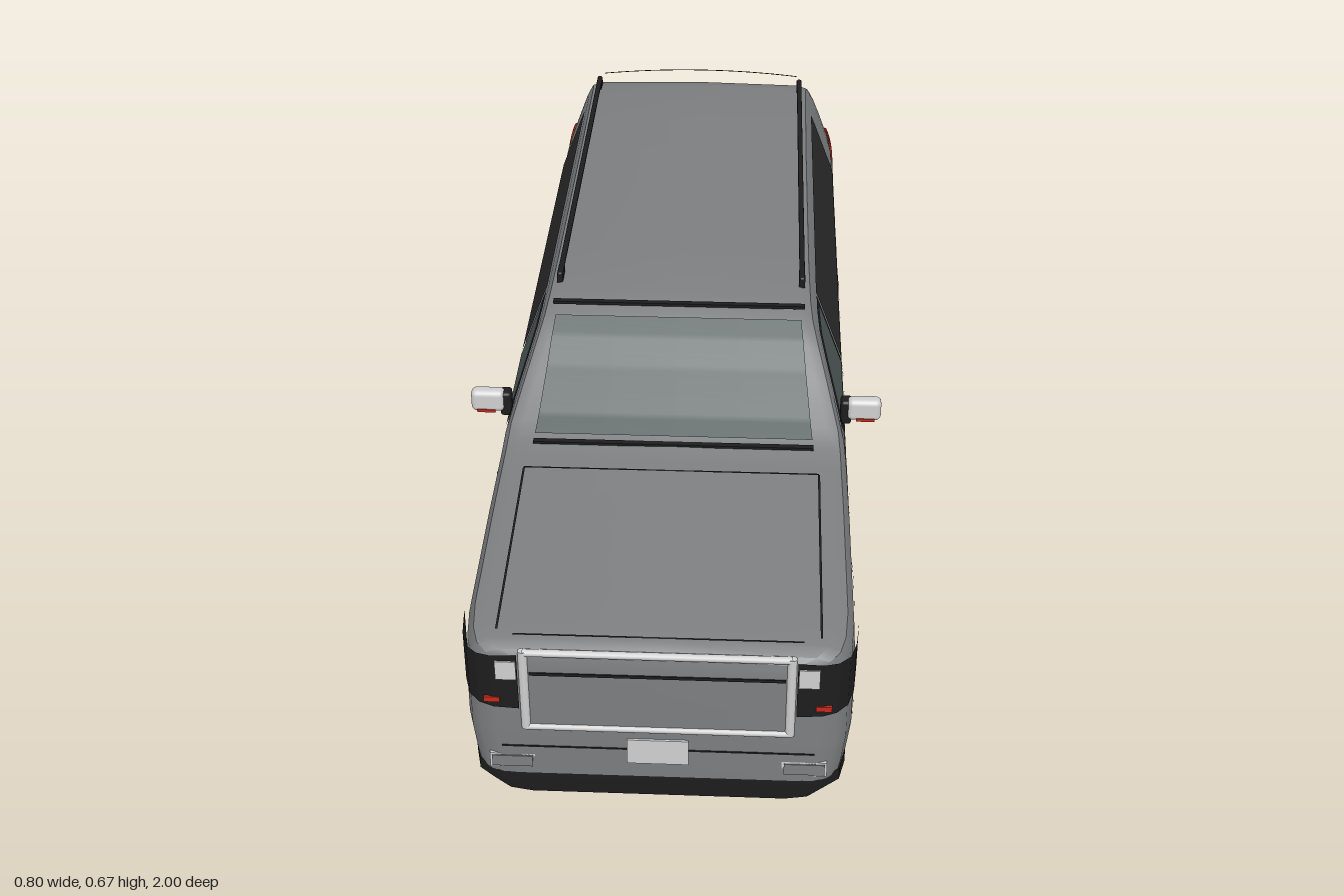
import * as THREE from 'three';
import { toCreasedNormals } from 'three/addons/utils/BufferGeometryUtils.js';
import { RoundedBoxGeometry } from 'three/addons/geometries/RoundedBoxGeometry.js';
import { ParametricGeometry } from 'three/addons/geometries/ParametricGeometry.js';

const mat = (name, color) => new THREE.MeshStandardMaterial({ name, color, side: THREE.DoubleSide });
const M = {
  body: mat('body grey', 0x7c7e80), trim: mat('black trim', 0x1d1d1d), tyre: mat('tyre rubber', 0x252525),
  dark: mat('tinted glass', 0x2a2a2a), glass: mat('windscreen glass', 0x4d5757), silver: mat('silver', 0xcfcfcf),
  red: mat('lamp red', 0xc42a1c), floor: mat('underbody', 0x3c3d3e), metal: mat('rim metal', 0x8c8c8c),
};

// piecewise linear lookup, table sorted by ascending key
function lerpTable(t, k) {
  if (k <= t[0][0]) return t[0][1];
  for (let i = 1; i < t.length; i++) {
    const [a, p] = t[i - 1], [b, q] = t[i];
    if (k <= b) return p + (q - p) * (k - a) / (b - a);
  }
  return t[t.length - 1][1];
}
const TOP = [[-.985, .33], [-.975, .42], [-.96, .5], [-.94, .585], [-.92, .63], [-.89, .65], [-.85, .657], [-.5, .661],
  [0, .66], [.16, .655], [.22, .643], [.27, .608], [.32, .565], [.4, .505], [.44, .482], [.5, .476], [.6, .466],
  [.8, .448], [.96, .434], [.985, .428], [.995, .418]];
const SIDE = [[.1, .325], [.17, .338], [.23, .345], [.33, .344], [.43, .337], [.47, .33], [.62, .274], [.66, .255]];
const TAPER = [[-.985, .985], [-.9, 1], [.87, 1], [.93, .985], [.965, .955], [.985, .9], [.995, .82]];
const BACK = TOP.slice(0, 5).map(([z, y]) => [y, z]);
const topY = z => lerpTable(TOP, z);
const sideX = (y, z) => lerpTable(SIDE, y) * lerpTable(TAPER, z);
const backZ = y => lerpTable(BACK, y);

const WHEELS = [.665, -.493], AXLE = .137, ARCH = .155;
function bottomY(z) {
  let y = z > .8 ? .145 : .165;
  for (const c of WHEELS) {
    const d = Math.abs(z - c);
    if (d < ARCH) y = Math.max(y, AXLE + Math.sqrt(ARCH * ARCH - d * d));
  }
  return y;
}

// one body cross-section, from the left sill over the top to the right sill
function section(z) {
  const T = topY(z), y0 = bottomY(z), y1 = T - .035, half = [];
  for (let i = 0; i <= 12; i++) {
    const y = y0 + (y1 - y0) * i / 12;
    half.push([sideX(y, z), y]);
  }
  const x = sideX(y1, z);
  half.push([x - .012, T - .013], [x - .035, T - .005]);
  return [...half, [0, T], ...half.map(([a, b]) => [-a, b]).reverse()].map(([a, b]) => [a, b, z]);
}

function bodyGeometry() {
  const zs = new Set([...TOP, ...TAPER].map(p => p[0]));
  for (const c of WHEELS) for (let i = 0; i <= 16; i++) zs.add(c + ARCH * Math.cos(Math.PI * i / 16));
  const rings = [...zs].sort((a, b) => b - a).map(section), n = rings[0].length, pos = [];
  const quad = (a, b, c, d) => { for (const p of [a, b, c, a, c, d]) pos.push(...p); };
  for (let i = 0; i + 1 < rings.length; i++)
    for (let j = 0; j + 1 < n; j++) quad(rings[i][j], rings[i + 1][j], rings[i + 1][j + 1], rings[i][j + 1]);
  const f = rings[0], r = rings[rings.length - 1];
  for (let j = 0; j < (n - 1) / 2; j++) {
    quad(f[j], f[j + 1], f[n - 2 - j], f[n - 1 - j]);
    quad(r[n - 1 - j], r[n - 2 - j], r[j + 1], r[j]);
  }
  const g = new THREE.BufferGeometry();
  g.setAttribute('position', new THREE.Float32BufferAttribute(pos, 3));
  return toCreasedNormals(g, .6);
}

export function createModel() {
  const car = new THREE.Group();
  car.name = 'estateCar';
  const add = (name, geo, m, x = 0, y = 0, z = 0, parent = car) => {
    const mesh = new THREE.Mesh(geo, m);
    mesh.name = name;
    mesh.position.set(x, y, z);
    parent.add(mesh);
    return mesh;
  };
  const box = (name, m, w, h, d, x, y, z) => add(name, new THREE.BoxGeometry(w, h, d), m, x, y, z);
  // thin surface from a rule (u, v) -> [x, y, z]
  const patch = (name, m, fn, nu = 8, nv = 6) =>
    add(name, new ParametricGeometry((u, v, t) => t.set(...fn(u, v)), nu, nv), m);
  // slab from a mirrored plan outline [x, z]; its underside is drawn in by the given factor
  const slab = (name, m, plan, y0, y1, tuck = 1) => {
    const pts = [...plan, ...plan.map(([x, z]) => [-x, z]).reverse()].map(p => new THREE.Vector2(...p));
    const g = new THREE.ExtrudeGeometry(new THREE.Shape(pts), { depth: y1 - y0, steps: 2, bevelEnabled: false });
    g.rotateX(Math.PI / 2).translate(0, y1, 0);
    const p = g.attributes.position;
    for (let i = 0; i < p.count; i++) if (p.getY(i) < y0 + .005) p.setX(i, p.getX(i) * tuck);
    add(name, toCreasedNormals(g, .6), m);
  };
  const mix = THREE.MathUtils.lerp;

  add('bodyShell', bodyGeometry(), M.body);

  // bumpers
  slab('frontBumper', M.trim, [[.336, .835], [.333, .92], [.322, .965], [.295, .987], [.25, .994]], .1, .15, .9);
  slab('rearBumper', M.body, [[.347, -.925], [.347, -.975], [.328, -.993], [.25, -.999]], .18, .29);
  slab('rearBumperStep', M.trim, [[.346, -.945], [.346, -.972], [.325, -.989], [.25, -.994]], .29, .325);
  slab('rearValance', M.trim, [[.343, -.655], [.346, -.975], [.325, -.99], [.25, -.995]], .155, .185, .96);

  // windscreen, tailgate glass and spoiler
  patch('windscreen', M.glass, (u, v) => {
    const z = mix(.43, .23, v);
    return [(u * 2 - 1) * mix(.268, .243, v), topY(z) + .004, z + .002];
  }, 4, 20);
  box('windscreenHeader', M.trim, .5, .006, .012, 0, .652, .2);
  box('cowl', M.trim, .54, .005, .012, 0, .482, .445);
  patch('rearWindow', M.dark, (u, v) => {
    const y = mix(.465, .61, v);
    return [(u * 2 - 1) * mix(.262, .235, v), y, backZ(y) - .005];
  });
  patch('spoiler', M.trim, (u, v) => {
    const x = (u * 2 - 1) * .24;
    return [x, .652 - .12 * x * x - .004 * v, -.957 + .25 * x * x - .014 * v];
  }, 16, 1);
  box('tailgateHandle', M.trim, .16, .008, .006, 0, .437, -.98);
  box('rearPlateFrame', M.trim, .13, .056, .008, 0, .39, -.982);
  box('rearPlate', M.silver, .11, .042, .008, 0, .39, -.985);

  // grille surround and front details
  for (const y of [.256, .423]) {
    const bar = add('grilleBar', new THREE.CylinderGeometry(.007, .007, .46, 10), M.silver, 0, y, .993);
    bar.rotation.z = Math.PI / 2;
  }
  box('grilleLine', M.trim, .44, .006, .004, 0, .378, .995);
  box('bumperSeam', M.trim, .55, .003, .003, 0, .21, .995);
  box('frontPlate', M.silver, .108, .055, .006, 0, .207, .996);
  patch('hoodRearSeam', M.trim, (u, v) => [(u * 2 - 1) * .28, topY(.52) + .001, .52 + .004 * v], 2, 1);
  patch('hoodFrontSeam', M.trim, (u, v) => [(u * 2 - 1) * .25, topY(.957) + .001, .957 + .004 * v], 2, 1);

  const lampPlan = [[0, .24], [.25, .285], [.45, .31], [.65, .33], [.8, .341], [1, .347]];
  const lampZ = [[0, .998], [.25, .9975], [.45, .989], [.65, .969], [.8, .933], [1, .87]];
  for (const s of [1, -1]) {
    // glazing
    patch('frontSideWindow', M.glass, (u, v) => {
      const z = mix(.12, .345, u), y = mix(.475, Math.min(.622, topY(z) - .042), v);
      return [s * (sideX(y, z) + .004), y, z];
    }, 16, 6);
    patch('windowSurround', M.trim, (u, v) => {
      const z = mix(.1, .375, u), y = mix(.47, Math.min(.627, topY(z) - .036), v);
      return [s * (sideX(y, z) + .002), y, z];
    }, 16, 6);
    patch('rearSideWindow', M.dark, (u, v) => {
      const y = mix(.475, .628, v), z = mix(.1, mix(-.77, -.755, v), u);
      return [s * (sideX(y, z) + .004), y, z];
    });
    // panel seams
    for (const [z, top] of [[.47, .425], [.115, .47], [.1, .47], [-.26, .47]])
      patch('doorSeam', M.trim, (u, v) => {
        const y = mix(.17, top, v);
        return [s * (sideX(y, z) + .0025), y, z + .004 * u];
      }, 1, 10);
    patch('hoodSideSeam', M.trim, (u, v) => {
      const z = mix(.52, .945, v);
      return [s * (.278 + .004 * u), topY(z) - .002, z];
    }, 1, 10);
    // lamps
    patch('headlamp', M.trim, (u, v) =>
      [s * lerpTable(lampPlan, u), mix(mix(.3, .31, u), mix(.42, .412, u), v), lerpTable(lampZ, u)], 20, 4);
    box('headlampLens', M.silver, .036, .04, .004, s * .26, .387, .9985);
    box('headlampMarker', M.red, .028, .011, .005, s * .287, .32, .997);
    patch('tailLamp', M.red, (u, v) => {
      const y = mix(.335, .5, v), X = sideX(y, -.95) + .004, z = backZ(y) - .005;
      const w = u * 3;
      return w < 1 ? [s * mix(X * .81, X - .012, w), y, z]
        : w < 2 ? [s * mix(X - .012, X, w - 1), y, mix(z, z + .008, w - 1)]
          : [s * X, y, mix(z + .008, z + .036, w - 2)];
    }, 12, 8);
    box('fogLampFrame', M.silver, .08, .032, .006, s * .258, .174, .992);
    box('fogLamp', M.body, .072, .024, .006, s * .258, .174, .994);
    const post = add('grillePost', new THREE.CylinderGeometry(.007, .007, .174, 10), M.silver, s * .23, .34, .993);
    post.scale.x = 1.2;
    // mirrors
    add('mirrorMount', new RoundedBoxGeometry(.022, .052, .03, 2, .006), M.trim, s * .334, .503, .34);
    add('mirrorShell', new RoundedBoxGeometry(.066, .046, .03, 3, .011), M.silver, s * .369, .511, .345);
    box('mirrorMarker', M.red, .036, .006, .004, s * .372, .492, .359);
    // roof rails and sills
    add('roofRail', new RoundedBoxGeometry(.011, .012, .99, 2, .004), M.trim, s * .245, .665, -.375);
    for (const z of [.1, -.85]) box('railFoot', M.trim, .012, .018, .04, s * .245, .658, z);
    add('runningBoard', new RoundedBoxGeometry(.06, .045, .84, 2, .01), M.trim, s * .315, .148, .085);
    box('chassisRail', M.trim, .03, .035, 1.6, s * .12, .137, -.03);

    // wheel wells and wheels
    for (const z of WHEELS) {
      const liner = new THREE.CylinderGeometry(ARCH, ARCH, .1, 24, 1, true, 0, Math.PI).rotateZ(Math.PI / 2);
      add('wheelLiner', liner, M.trim, s * .29, AXLE, z);
      add('wheelWell', new THREE.CircleGeometry(ARCH, 24, 0, Math.PI).rotateY(Math.PI / 2), M.trim, s * .24, AXLE, z);
      const rear = z < 0;
      const ring = new THREE.RingGeometry(rear ? .148 : .192, rear ? .18 : .195, 32, 1, .16, Math.PI - .32);
      add(rear ? 'archTrim' : 'archSeam', ring.rotateY(Math.PI / 2), M.trim, s * .3475, AXLE, z);

      const wheel = new THREE.Group();
      wheel.name = 'wheel';
      wheel.position.set(s * .301, AXLE, z);
      wheel.rotation.y = s > 0 ? 0 : Math.PI;
      car.add(wheel);
      const axial = g => g.rotateZ(-Math.PI / 2);
      const profile = [[.096, -.042], [.118, -.046], [.13, -.038], [.134, -.02], [.134, .02], [.13, .038],
        [.118, .046], [.1, .042], [.096, .034], [.096, -.042]].map(p => new THREE.Vector2(...p));
      add('tyre', axial(new THREE.LatheGeometry(profile, 36)), M.tyre, 0, 0, 0, wheel);
      add('rimDish', axial(new THREE.CylinderGeometry(.096, .096, .02, 32)), M.trim, .012, 0, 0, wheel);
      add('rimLip', new THREE.TorusGeometry(.096, .0025, 6, 36).rotateY(Math.PI / 2), M.metal, .041, 0, 0, wheel);
      add('hub', axial(new THREE.CylinderGeometry(.02, .024, .02, 18)), M.tyre, .034, 0, 0, wheel);
      add('hubCap', axial(new THREE.CylinderGeometry(.008, .008, .003, 14)), M.metal, .045, 0, 0, wheel);
      add('brakeDisc', axial(new THREE.CylinderGeometry(.07, .07, .012, 24)), M.metal, -.02, 0, 0, wheel);
      for (let i = 0; i < 6; i++) {
        const a = i * Math.PI / 3;
        const spoke = add('spoke', new THREE.BoxGeometry(.014, .08, .026).translate(0, .056, 0), M.tyre, .031, 0, 0, wheel);
        const edge = add('spokeEdge', new THREE.BoxGeometry(.004, .055, .004).translate(0, .062, .016), M.metal, .03, 0, 0, wheel);
        spoke.rotation.x = edge.rotation.x = a;
      }
    }
  }

  // underbody: floor panels, crossmembers, axles and tank
  for (const [w, z0, z1] of [[.48, -.95, .94], [.66, -.335, .505], [.66, -.95, -.65], [.6, .825, .93]])
    box('floorPanel', M.floor, w, .01, z1 - z0, 0, .172, (z0 + z1) / 2);
  for (const z of [-.78, -.3, -.1, .15, .45]) box('crossmember', M.trim, .27, .025, .03, 0, .138, z);
  for (const z of WHEELS) {
    const axle = add('axle', new THREE.CylinderGeometry(.014, .014, .54, 12), M.trim, 0, AXLE, z);
    axle.rotation.z = Math.PI / 2;
  }
  box('fuelTank', M.trim, .16, .045, .22, .02, .142, -.2);
  return car;
}
